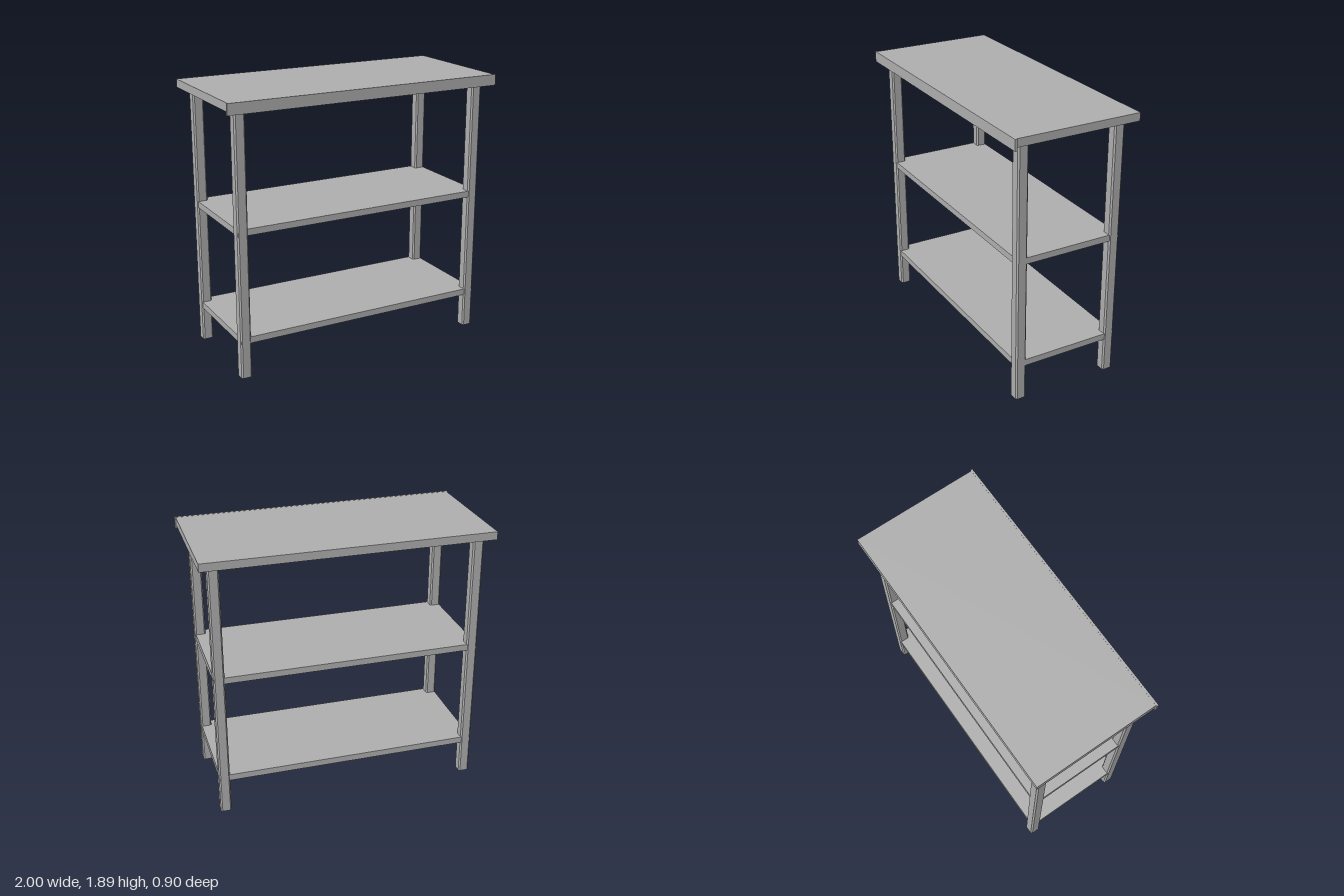
import * as THREE from 'three';

export function createModel() {
  const model = new THREE.Group();
  const grey = new THREE.MeshStandardMaterial({ color: 0xb0b0b0 });
  grey.name = 'grey';

  const add = (name, geometry, x, y, z) => {
    const mesh = new THREE.Mesh(geometry, grey);
    mesh.name = name;
    mesh.position.set(x, y, z);
    model.add(mesh);
  };
  const slab = (name, w, y0, y1, z0, z1) =>
    add(name, new THREE.BoxGeometry(w, y1 - y0, z1 - z0), 0, (y0 + y1) / 2, (z0 + z1) / 2);

  // Square post with chamfered long edges
  const h = 0.0375, c = 0.01;
  const section = new THREE.Shape([
    [-h + c, -h], [h - c, -h], [h, -h + c], [h, h - c],
    [h - c, h], [-h + c, h], [-h, h - c], [-h, -h + c],
  ].map(([x, y]) => new THREE.Vector2(x, y)));
  const legGeometry = new THREE.ExtrudeGeometry(section, { depth: 1.83, bevelEnabled: false });
  legGeometry.rotateX(-Math.PI / 2);

  for (const [side, x] of [['Left', 0.8925], ['Right', -0.8925]]) {
    add(`front${side}Leg`, legGeometry, x, 0, 0.3475);
    add(`back${side}Leg`, legGeometry, x, 0, -0.3475);
  }

  // Shelves run through the legs, just shy of their outer faces
  slab('lowerShelf', 1.85, 0.245, 0.29, -0.381, 0.381);
  slab('middleShelf', 1.85, 1.0, 1.045, -0.381, 0.381);

  // Worktop with a deeper, slightly wider front edge strip
  slab('worktop', 1.984, 1.83, 1.886, -0.45, 0.435);
  slab('frontEdgeStrip', 2, 1.811, 1.887, 0.435, 0.45);

  return model;
}
